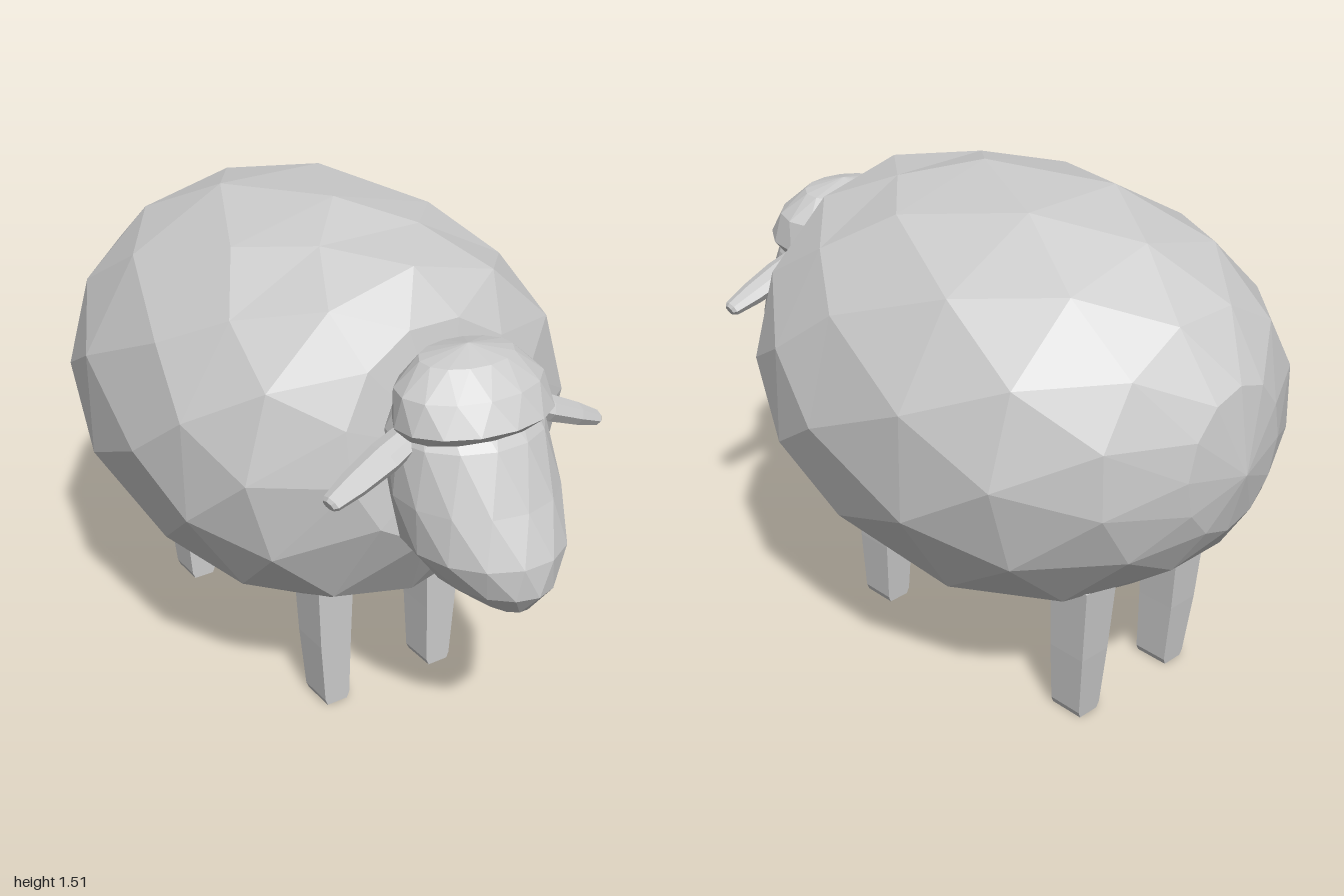
import * as THREE from 'three';

const wool = new THREE.MeshStandardMaterial({ color: 0xcccccc, flatShading: true });

// Faceted closed form: rings [zA, yA, zB, yB, halfWidth] between two end points [z, y].
// Each ring is an ellipse from A to B; alternate rings are turned half a step.
function loft(name, sides, start, rings, end) {
  const pos = [];
  const turned = (r) => r % 2 === 0;
  const points = rings.map(([zA, yA, zB, yB, w], r) => {
    const grow = turned(r) ? 1.025 : 1;
    return Array.from({ length: sides }, (_, i) => {
      const a = ((i + (turned(r) ? 0.5 : 0)) / sides) * Math.PI * 2;
      const c = Math.cos(a) * grow;
      return [
        w * grow * Math.sin(a),
        (yA + yB) / 2 + ((yA - yB) / 2) * c,
        (zA + zB) / 2 + ((zA - zB) / 2) * c,
      ];
    });
  });
  const tri = (a, b, c) => pos.push(...a, ...b, ...c);
  const first = [0, start[1], start[0]];
  const last = [0, end[1], end[0]];
  for (let i = 0; i < sides; i++) {
    const j = (i + 1) % sides;
    tri(first, points[0][j], points[0][i]);
    for (let r = 0; r < rings.length - 1; r++) {
      const p = points[r];
      const q = points[r + 1];
      if (turned(r)) {
        tri(p[i], q[j], q[i]);
        tri(p[i], p[j], q[j]);
      } else {
        tri(p[i], p[j], q[i]);
        tri(p[j], q[j], q[i]);
      }
    }
    const e = points[rings.length - 1];
    tri(last, e[i], e[j]);
  }
  const geo = new THREE.BufferGeometry();
  geo.setAttribute('position', new THREE.Float32BufferAttribute(pos, 3));
  geo.computeVertexNormals();
  const mesh = new THREE.Mesh(geo, wool);
  mesh.name = name;
  return mesh;
}

// Leg: a box whose foot is narrower, with the outer and front faces kept nearly straight
function leg(name, side, topZ, footZ) {
  const geo = new THREE.BoxGeometry(1, 1, 1, 1, 3, 1);
  const p = geo.attributes.position;
  const heights = [0, 0.02, 0.22, 0.46];
  const inner = [0.157, 0.148, 0.143, 0.135];
  const outer = [0.227, 0.235, 0.25, 0.26];
  for (let i = 0; i < p.count; i++) {
    const k = Math.round((p.getY(i) + 0.5) * 3);
    const y = heights[k];
    const t = Math.min(y / 0.4, 1);
    const onOuter = p.getX(i) * side > 0;
    const e = p.getZ(i) > 0 ? 1 : 0;
    p.setXYZ(i, side * (onOuter ? outer[k] : inner[k]), y, footZ[e] + (topZ[e] - footZ[e]) * t);
  }
  geo.computeVertexNormals();
  const mesh = new THREE.Mesh(geo, wool);
  mesh.name = name;
  return mesh;
}

// Ear: thick at the root, tapering to a blunt tip and drooping outwards
function ear(name, side) {
  const profile = [[0, -0.18], [0.05, -0.16], [0.056, -0.07], [0.047, 0.04], [0.032, 0.12], [0.022, 0.13], [0, 0.131]];
  const geo = new THREE.LatheGeometry(profile.map(([r, y]) => new THREE.Vector2(r, y)), 8);
  geo.scale(0.7, 1, 1);
  const mesh = new THREE.Mesh(geo, wool);
  mesh.name = name;
  mesh.position.set(side * 0.335, 1.013, 0.665);
  mesh.rotation.set(0, -side * 0.1, -side * 1.97);
  return mesh;
}

export function createModel() {
  const sheep = new THREE.Group();
  sheep.name = 'sheep';

  // Woolly body, front to back
  sheep.add(loft('body', 12, [0.58, 0.95], [
    [0.5, 1.3, 0.6, 0.68, 0.31],
    [0.4, 1.43, 0.43, 0.41, 0.55],
    [0.19, 1.46, 0.23, 0.32, 0.635],
    [0, 1.51, 0, 0.25, 0.68],
    [-0.35, 1.485, -0.34, 0.26, 0.655],
    [-0.62, 1.42, -0.62, 0.355, 0.585],
    [-0.83, 1.28, -0.85, 0.55, 0.395],
    [-0.96, 1.12, -0.95, 0.68, 0.19],
  ], [-1, 0.87]));

  // Head, chin to crown
  const head = new THREE.Group();
  head.name = 'head';
  head.add(loft('face', 14, [0.84, 0.6], [
    [0.94, 0.62, 0.7, 0.61, 0.065],
    [1, 0.695, 0.58, 0.65, 0.145],
    [0.99, 0.79, 0.5, 0.75, 0.212],
    [0.935, 0.92, 0.46, 0.9, 0.235],
    [0.855, 1.08, 0.45, 1.06, 0.218],
    [0.78, 1.18, 0.48, 1.18, 0.17],
  ], [0.65, 1.22]));

  // Wool cap with a lip over the brow
  head.add(loft('woolCap', 14, [0.66, 1.08], [
    [0.83, 1.1, 0.51, 1.05, 0.205],
    [0.87, 1.135, 0.5, 1.09, 0.235],
    [0.82, 1.21, 0.5, 1.19, 0.212],
    [0.75, 1.275, 0.54, 1.265, 0.14],
  ], [0.65, 1.3]));

  head.add(ear('leftEar', 1), ear('rightEar', -1));
  sheep.add(head);

  // Legs
  for (const [label, s] of [['left', 1], ['right', -1]]) {
    sheep.add(leg(label + 'FrontLeg', s, [0.18, 0.32], [0.21, 0.32]));
    sheep.add(leg(label + 'BackLeg', s, [-0.68, -0.54], [-0.64, -0.53]));
  }
  return sheep;
}
